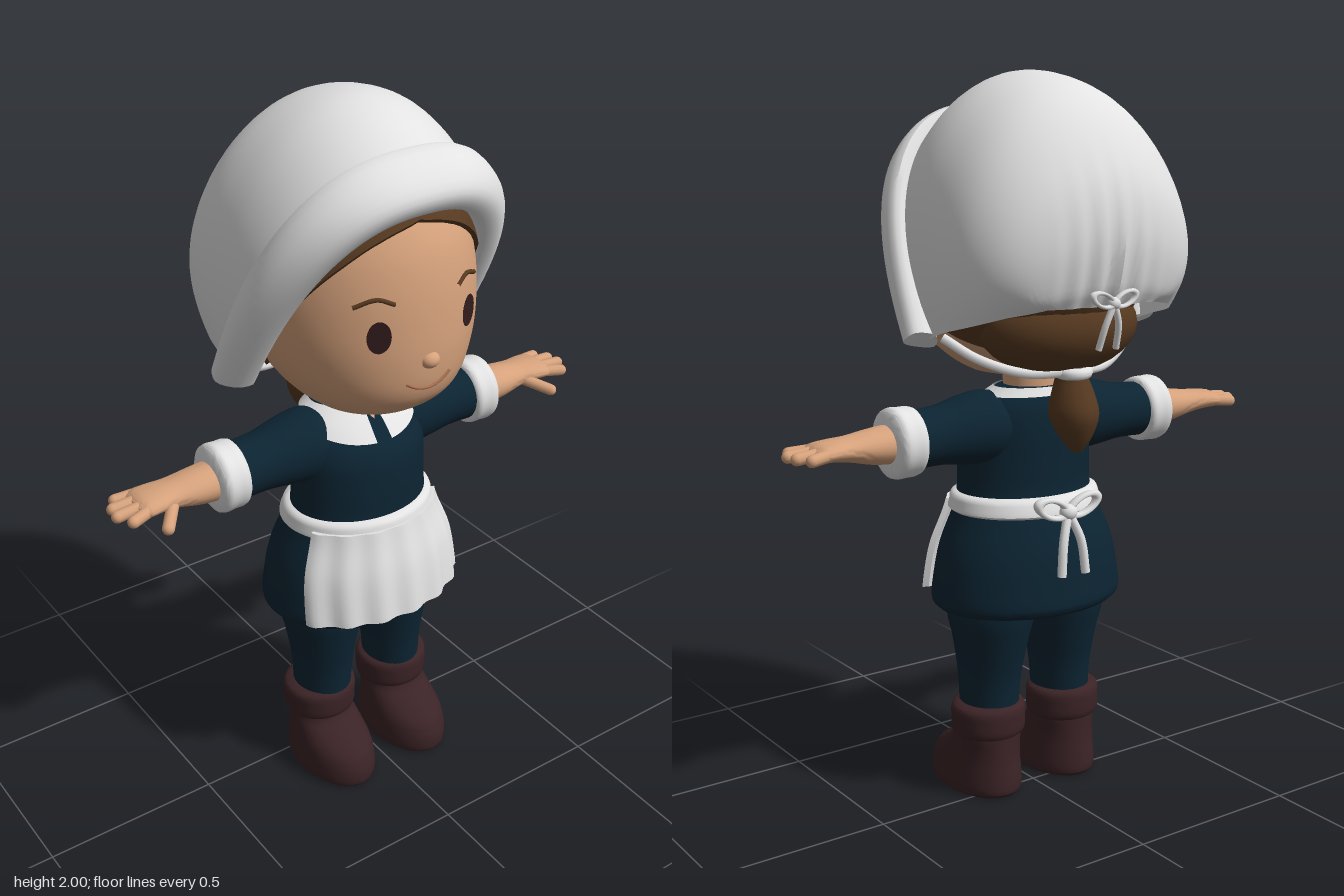
import * as THREE from 'three';
import { toCreasedNormals } from 'three/addons/utils/BufferGeometryUtils.js';

const V = (x, y, z) => new THREE.Vector3(x, y, z);
const mat = (name, color) => Object.assign(new THREE.MeshStandardMaterial({ color }), { name });

// Smooth lookup in a table whose first column is the key
function at(rows, k) {
  let i = 0;
  while (i < rows.length - 2 && k > rows[i + 1][0]) i++;
  const slope = (j, c) => {
    const a = rows[Math.max(0, j - 1)], b = rows[Math.min(rows.length - 1, j + 1)];
    return (b[c] - a[c]) / (b[0] - a[0]);
  };
  const a = rows[i], b = rows[i + 1], h = b[0] - a[0];
  const t = THREE.MathUtils.clamp((k - a[0]) / h, 0, 1), t2 = t * t, t3 = t2 * t;
  return a.slice(1).map((v, n) => v * (2 * t3 - 3 * t2 + 1) + b[n + 1] * (3 * t2 - 2 * t3)
    + h * slope(i, n + 1) * (t3 - 2 * t2 + t) + h * slope(i + 1, n + 1) * (t3 - t2));
}

// Skin over a list of rings; closed rings get end caps, faces are turned outward
function skin(rings, closed = true, crease = 0.8) {
  const n = rings[0].length, pts = rings.flat(), idx = [];
  for (let r = 0; r < rings.length - 1; r++)
    for (let i = 0; i < (closed ? n : n - 1); i++) {
      const a = r * n + i, b = r * n + (i + 1) % n;
      idx.push(a, a + n, b, b, a + n, b + n);
    }
  if (closed) [0, rings.length - 1].forEach((r, end) => {
    const c = pts.length;
    pts.push(rings[r].reduce((s, p) => s.add(p), V(0, 0, 0)).divideScalar(n));
    for (let i = 0; i < n; i++) {
      const a = r * n + i, b = r * n + (i + 1) % n;
      idx.push(c, ...(end ? [b, a] : [a, b]));
    }
  });
  const mid = new THREE.Box3().setFromPoints(pts).getCenter(V(0, 0, 0));
  let volume = 0;
  for (let i = 0; i < idx.length; i += 3) {
    const [a, b, c] = [0, 1, 2].map(j => pts[idx[i + j]].clone().sub(mid));
    volume += a.dot(b.cross(c));
  }
  if (volume < 0) idx.reverse();
  const g = new THREE.BufferGeometry().setFromPoints(pts);
  g.setIndex(idx);
  return toCreasedNormals(g, crease);
}

// Oval column along y, rows [y, cx, cz, rx, rz], or along x, rows [x, cy, cz, ry, rz]
function column(rows, s = 1, axis = 'y', n = 40, sub = 4) {
  const rings = [];
  for (let i = 0; i < (rows.length - 1) * sub + 1; i++) {
    const j = Math.min(rows.length - 2, Math.floor(i / sub));
    const k = THREE.MathUtils.lerp(rows[j][0], rows[j + 1][0], i / sub - j);
    const [c1, c2, r1, r2] = at(rows, k);
    rings.push(Array.from({ length: n }, (_, q) => {
      const a = q / n * Math.PI * 2, u = c1 + r1 * Math.sin(a), z = c2 + r2 * Math.cos(a);
      return axis === 'y' ? V(s * u, k, z) : V(s * k, u, z);
    }));
  }
  return skin(rings);
}

const DRESS = [[0.55, 0, 0.035, 0.268, 0.21], [0.565, 0, 0.035, 0.281, 0.224], [0.61, 0, 0.035, 0.28, 0.222],
  [0.72, 0, 0.035, 0.258, 0.205], [0.82, 0, 0.038, 0.214, 0.175], [0.87, 0, 0.045, 0.2, 0.158],
  [0.96, 0, 0.045, 0.196, 0.155], [1.05, 0, 0.038, 0.195, 0.148], [1.12, 0, 0.015, 0.172, 0.115], [1.168, 0, 0, 0.11, 0.075]];
const HEAD = [[1.185, 0, 0.08, 0.05, 0.06], [1.2, 0, 0.09, 0.12, 0.125], [1.25, 0, 0.1, 0.195, 0.2],
  [1.3, 0, 0.08, 0.242, 0.26], [1.38, 0, 0.05, 0.285, 0.305], [1.48, 0, 0.035, 0.305, 0.32], [1.6, 0, 0.025, 0.3, 0.318],
  [1.7, 0, 0.01, 0.275, 0.305], [1.8, 0, -0.005, 0.225, 0.255], [1.88, 0, -0.02, 0.15, 0.17], [1.93, 0, -0.02, 0.04, 0.05]];

// Point on a body table at height y and angle a from the front, pushed out by d
function on(rows, y, a, d = 0) {
  const [, cz, rx, rz] = at(rows, y);
  return V((rx + d) * Math.sin(a), y, cz + (rz + d) * Math.cos(a));
}
const face = (x, y, d) => on(HEAD, y, Math.asin(x / at(HEAD, y)[2]), d);
const tube = (pts, r, n = 24) => new THREE.TubeGeometry(new THREE.CatmullRomCurve3(pts), n, r, 8);

export function createModel() {
  const root = new THREE.Group();
  const white = mat('white linen', 0xe2e2e2), navy = mat('navy cloth', 0x0c2432), tan = mat('skin', 0xd6a27c);
  const brown = mat('brown hair', 0x573a21), leather = mat('boot leather', 0x3b2326);
  const dark = mat('eye brown', 0x321b1c), lip = mat('lip', 0xa8704f);
  white.side = THREE.DoubleSide;
  const add = (name, geo, m, parent = root) => {
    const mesh = new THREE.Mesh(geo, m);
    mesh.name = name;
    parent.add(mesh);
    return mesh;
  };
  const ball = (name, m, p, r, parent = root) => {
    const b = add(name, new THREE.SphereGeometry(1, 24, 16), m, parent);
    b.position.set(...p);
    b.scale.set(...r);
    return b;
  };

  // Head and neck
  add('head', column(HEAD, 1, 'y', 56), tan);
  add('neck', column([[1.08, 0, 0.01, 0.085, 0.08], [1.16, 0, 0.005, 0.082, 0.075], [1.24, 0, 0.01, 0.085, 0.08]]), tan);
  ball('nose', tan, [0, 1.405, 0.35], [0.027, 0.022, 0.024]);
  add('mouth', tube([-0.068, -0.04, 0, 0.04, 0.068].map(x => face(x, 1.328 + 5.5 * x * x, 0.001)), 0.004), lip);

  // Hair: scalp shell with a parted fringe, nape, ponytail
  const EDGE = [[0, 1.755], [0.3, 1.735], [0.6, 1.695], [0.95, 1.61], [1.4, 1.45], [1.8, 1.32], [Math.PI, 1.25]];
  const scalp = [];
  for (let t = 0; t <= 12; t++)
    scalp.push(Array.from({ length: 64 }, (_, i) => {
      const a = (i / 64 - 0.5) * Math.PI * 2;
      return on(HEAD, THREE.MathUtils.lerp(at(EDGE, Math.abs(a))[0], 1.91, t / 12), a, 0.012);
    }));
  add('scalpHair', skin(scalp), brown);
  ball('napeHair', brown, [0, 1.34, -0.115], [0.235, 0.13, 0.165]);
  add('ponytail', column([[1.01, 0, -0.2, 0.015, 0.015], [1.05, 0, -0.195, 0.045, 0.045], [1.11, 0, -0.185, 0.066, 0.075],
    [1.17, 0, -0.18, 0.055, 0.06], [1.23, 0, -0.17, 0.04, 0.045], [1.3, 0, -0.15, 0.07, 0.07]], 1, 'y', 12, 3), brown);
  const tie = add('hairTie', new THREE.TorusGeometry(0.042, 0.017, 10, 28), white);
  tie.position.set(0, 1.225, -0.172);
  tie.rotation.x = Math.PI / 2 - 0.15;

  // Bonnet crown: arches from brim to nape [k, apexY, apexZ, endY, endZ, halfWidth]
  const CROWN = [[0, 1.9, 0.25, 1.31, 0.02, 0.355], [1, 1.972, 0.14, 1.32, -0.02, 0.362], [2, 2, 0.01, 1.33, -0.05, 0.366],
    [3, 1.965, -0.15, 1.345, -0.1, 0.366], [4, 1.88, -0.26, 1.36, -0.16, 0.355], [5, 1.74, -0.345, 1.375, -0.21, 0.325],
    [6, 1.6, -0.37, 1.39, -0.25, 0.28], [7, 1.47, -0.352, 1.4, -0.28, 0.225], [8, 1.41, -0.325, 1.41, -0.3, 0.17]];
  const crown = [], lap = 0.35;
  for (let k = 0; k <= 8; k += 0.25) {
    const [ay, az, ey, ez, w] = at(CROWN, k), f = Math.sin(lap);
    const cy = (ey + f * ay) / (1 + f), cz = (ez + f * az) / (1 + f);
    crown.push(Array.from({ length: 65 }, (_, i) => {
      const a = -lap + i / 64 * (Math.PI + 2 * lap), x = w * Math.cos(a);
      const fold = 0.009 * THREE.MathUtils.smoothstep(k, 4, 7) * Math.max(0, 1 - Math.abs(x) / 0.2);
      return V(x, cy + (ay - cy) * Math.sin(a), cz + (az - cz) * Math.sin(a) + fold * Math.sin(x * 95));
    }));
  }
  add('bonnetCrown', skin(crown, false), white);

  // Bonnet brim: five rails around the face, same columns without the key
  const RAILS = [[1.915, 0.235, 1.34, -0.035, 0.395], [1.88, 0.305, 1.315, 0, 0.41], [1.82, 0.345, 1.295, 0.03, 0.36],
    [1.775, 0.318, 1.29, 0.02, 0.305], [1.8, 0.22, 1.33, -0.035, 0.335]];
  const brim = [], soft = v => Math.sign(v) * Math.abs(v) ** 0.8;
  for (let i = 0; i <= 56; i++) {
    const a = i / 56 * Math.PI;
    const section = RAILS.map(([ay, az, ey, ez, w]) => {
      const s = soft(Math.sin(a));
      return V(w * soft(Math.cos(a)), ey + (ay - ey) * s, ez + (az - ez) * s);
    });
    brim.push(new THREE.CatmullRomCurve3(section, true, 'centripetal').getPoints(20).slice(0, 20));
  }
  add('bonnetBrim', skin(brim), white);

  // Dress, collar, apron
  add('dress', column(DRESS, 1, 'y', 56), navy);
  const collar = [0, 1, 2, 3, 4].map(t => Array.from({ length: 57 }, (_, i) => {
    const a = 0.12 + i / 56 * (Math.PI * 2 - 0.24), c = Math.max(0, Math.cos(a));
    return on(DRESS, THREE.MathUtils.lerp(1.168, 1.145 - 0.06 * c, t / 4), a, 0.009);
  }));
  add('collar', skin(collar, false), white);
  const notch = add('neckOpening', new THREE.CircleGeometry(0.025, 3), tan);
  notch.position.set(0, 1.148, 0.104);
  notch.rotation.set(-0.75, 0, -Math.PI / 2);
  const apron = [];
  for (let t = 0; t <= 14; t++) {
    const y = 0.585 + t / 14 * 0.26, row = [];
    for (const d of [0.026, 0.008])
      for (let i = 0; i <= 40; i++) {
        const u = (d > 0.01 ? i : 40 - i) / 20 - 1, a = u * (1 + 0.12 * t / 14);
        row.push(on(DRESS, y, a, d + 0.006 * Math.sin(u * 19) * (1 - 0.6 * t / 14)));
      }
    apron.push(row);
  }
  add('apron', skin(apron), white);
  add('waistband', column([[0.818, 0, 0.04, 0.215, 0.178], [0.826, 0, 0.04, 0.226, 0.189], [0.845, 0, 0.042, 0.221, 0.184],
    [0.864, 0, 0.044, 0.216, 0.176], [0.872, 0, 0.045, 0.2, 0.16]], 1, 'y', 56, 2), white);

  // Bow with two loops and two tails
  function bow(name, y, z, k, drop, lean) {
    const g = new THREE.Group();
    g.name = name;
    g.position.set(0, y, z);
    root.add(g);
    ball('knot', white, [0, 0, -0.008 * k], [0.022 * k, 0.02 * k, 0.02 * k], g);
    for (const s of [1, -1]) {
      const loop = add('bowLoop', new THREE.TorusGeometry(0.034 * k, 0.01 * k, 8, 24), white, g);
      loop.position.set(s * 0.045 * k, 0.012 * k, -0.008);
      loop.rotation.z = s * 0.35;
      loop.scale.set(1.25, 0.6, 1.3);
      add('bowTail', tube([V(0, 0, -0.008), V(s * 0.025 * k, -drop * 0.45, -0.01 - lean * 0.5),
        V(s * 0.035 * k, -drop, -lean)], 0.011 * k), white, g);
    }
  }
  bow('apronBow', 0.835, -0.155, 1.15, 0.17, 0.035);
  bow('bonnetBow', 1.42, -0.345, 0.8, 0.12, -0.02);

  for (const s of [1, -1]) {
    const side = new THREE.Group();
    side.name = s > 0 ? 'leftSide' : 'rightSide';
    root.add(side);

    // Eye, eyebrow, bonnet strap
    const eye = add('eye', new THREE.CircleGeometry(1, 28), dark, side);
    eye.position.copy(face(s * 0.135, 1.492, 0.005));
    eye.scale.set(0.031, 0.043, 1);
    eye.rotation.set(0, s * 0.44, 0);
    add('eyebrow', tube([[0.095, 1.572], [0.135, 1.587], [0.185, 1.568]].map(([x, y]) => face(s * x, y, 0.001)), 0.006), brown, side);
    add('bonnetStrap', tube([V(s * 0.31, 1.32, -0.03), V(s * 0.24, 1.265, -0.09), V(s * 0.13, 1.225, -0.15), V(s * 0.02, 1.225, -0.2)], 0.013), white, side);

    // Sleeve, cuff, arm
    add('sleeve', column([[0.06, 1.06, 0.015, 0.08, 0.08], [0.15, 1.06, 0.02, 0.1, 0.1], [0.22, 1.058, 0.02, 0.094, 0.093],
      [0.3, 1.053, 0.02, 0.08, 0.082], [0.4, 1.048, 0.02, 0.078, 0.08]], s, 'x'), navy, side);
    add('cuff', column([[0.37, 1.047, 0.02, 0.075, 0.075], [0.378, 1.047, 0.02, 0.091, 0.089], [0.41, 1.047, 0.02, 0.094, 0.09],
      [0.445, 1.047, 0.02, 0.092, 0.09], [0.457, 1.047, 0.02, 0.068, 0.066]], s, 'x', 36, 3), white, side);
    add('arm', column([[0.42, 1.047, 0.023, 0.055, 0.062], [0.5, 1.047, 0.022, 0.047, 0.06], [0.57, 1.05, 0.02, 0.034, 0.055],
      [0.62, 1.052, 0.02, 0.028, 0.062], [0.66, 1.05, 0.02, 0.023, 0.064], [0.675, 1.05, 0.02, 0.012, 0.05]], s, 'x', 28), tan, side);

    // Fingers and thumb: [base x, base y, base z, tip x, tip y, tip z]
    for (const [bx, by, bz, tx, ty, tz] of [[0.65, 1.05, -0.027, 0.698, 1.045, -0.036], [0.65, 1.052, 0.004, 0.722, 1.046, 0],
      [0.65, 1.052, 0.036, 0.728, 1.046, 0.038], [0.65, 1.05, 0.063, 0.705, 1.045, 0.08], [0.575, 1.045, 0.05, 0.632, 1.02, 0.122]]) {
      const a = V(s * bx, by, bz), b = V(s * tx, ty, tz), d = b.clone().sub(a);
      const f = add('finger', new THREE.CapsuleGeometry(0.0165, d.length(), 6, 12), tan, side);
      f.position.copy(a).addScaledVector(d, 0.5);
      f.quaternion.setFromUnitVectors(V(0, 1, 0), d.normalize());
    }

    // Leg and boot
    add('leg', column([[0.2, 0.125, 0.042, 0.08, 0.088], [0.33, 0.122, 0.042, 0.085, 0.096], [0.45, 0.121, 0.038, 0.102, 0.118],
      [0.53, 0.12, 0.035, 0.121, 0.132], [0.65, 0.11, 0.035, 0.12, 0.13]], s), navy, side);
    add('boot', column([[0, 0.13, 0.098, 0.098, 0.155], [0.012, 0.13, 0.098, 0.108, 0.164], [0.06, 0.13, 0.098, 0.107, 0.162],
      [0.1, 0.13, 0.09, 0.102, 0.15], [0.135, 0.13, 0.066, 0.096, 0.124], [0.165, 0.13, 0.043, 0.093, 0.1],
      [0.21, 0.13, 0.037, 0.093, 0.093]], s), leather, side);
    add('bootCuff', column([[0.172, 0.13, 0.037, 0.092, 0.09], [0.18, 0.13, 0.037, 0.103, 0.1], [0.22, 0.13, 0.037, 0.106, 0.103],
      [0.257, 0.13, 0.037, 0.103, 0.1], [0.266, 0.13, 0.037, 0.085, 0.085]], s, 'y', 36, 3), leather, side);
  }
  return root;
}
